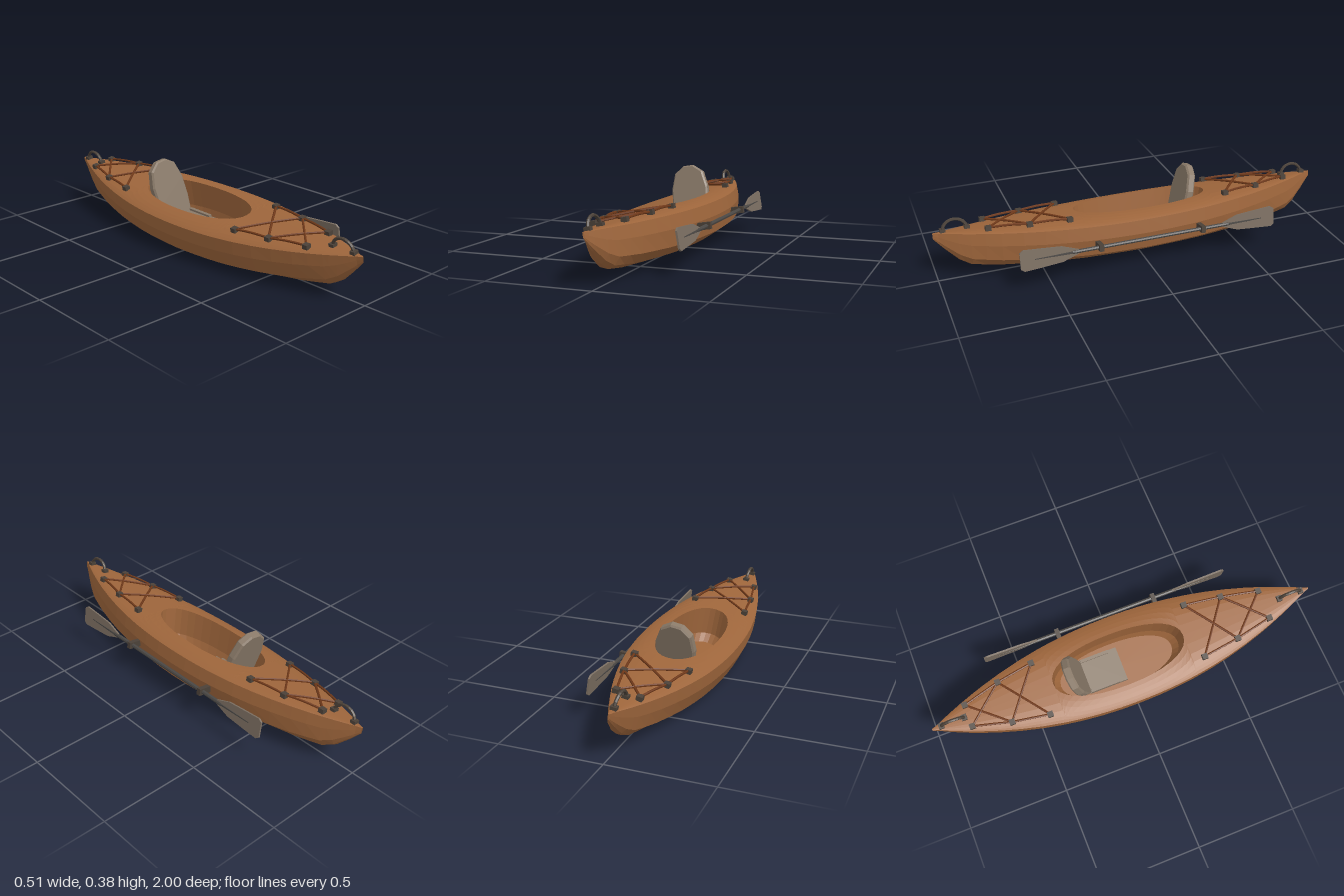
import * as THREE from 'three';

const mat = (name, color, opts = {}) => {
  const m = new THREE.MeshStandardMaterial({ color, flatShading: true, ...opts });
  m.name = name;
  return m;
};

// Surface through rows of [x, y, z] points
function loft(rows) {
  const n = rows[0].length, index = [];
  for (let i = 0; i < rows.length - 1; i++)
    for (let j = 0; j < n - 1; j++) {
      const a = i * n + j, b = a + n;
      index.push(a, b, a + 1, b, b + 1, a + 1);
    }
  const g = new THREE.BufferGeometry();
  g.setAttribute('position', new THREE.Float32BufferAttribute(rows.flat(2), 3));
  g.setIndex(index);
  g.computeVertexNormals();
  return g;
}

// Hull rules: half width and keel depth along the length
const halfWidth = z => Math.max(0.004, 0.229 * (1 - Math.abs(z) ** 2.1));
const KEEL = [[0, 0.2375], [0.3, 0.232], [0.5, 0.222], [0.7, 0.205], [0.835, 0.185], [0.89, 0.15], [0.95, 0.088], [1, 0.03]];
function keelDepth(z) {
  const a = Math.abs(z);
  for (let i = 1; i < KEEL.length; i++) {
    const [z0, d0] = KEEL[i - 1], [z1, d1] = KEEL[i];
    if (a <= z1) return d0 + (d1 - d0) * (a - z0) / (z1 - z0);
  }
  return 0.03;
}
const edgeDrop = z => 0.033 * halfWidth(z) / 0.229;
const deckY = (x, z) => -edgeDrop(z) * Math.min(1, Math.abs(x) / (0.987 * halfWidth(z))) ** 4;

// Cockpit outline, a rounded superellipse
const POW = 2 / 2.2, ZC = -0.035;
const spow = v => Math.sign(v) * Math.abs(v) ** POW;
const rim = a => [0.135 * spow(Math.cos(a)), ZC + 0.345 * spow(Math.sin(a))];

export function createModel() {
  const model = new THREE.Group();
  model.name = 'kayak';
  const boat = new THREE.Group();
  boat.name = 'heeledBoat';
  boat.position.set(-0.035, 0.24, 0);
  boat.rotation.z = 0.166;
  model.add(boat);

  const shell = mat('orange brown shell', 0x9d653b, { side: THREE.DoubleSide });
  const seatMat = mat('taupe seat', 0x8a7a69);
  const dark = mat('dark fittings', 0x4b4138);
  const cordMat = mat('rust cord', 0x6e3819);
  const shaftMat = mat('charcoal shaft', 0x4a4744);
  const bladeMat = mat('grey blade', 0x7b6e61);

  const add = (name, geo, material, x = 0, y = 0, z = 0, parent = boat) => {
    const m = new THREE.Mesh(geo, material);
    m.name = name;
    m.position.set(x, y, z);
    parent.add(m);
    return m;
  };

  // Hull, multi-chine sections from gunwale to gunwale
  const half = [[0.987, 0], [1, 0.33], [0.882, 0.73], [0.498, 0.93], [0, 1]];
  const section = [...half, ...half.slice(0, 4).reverse().map(([x, f]) => [-x, f])];
  const stations = [-1, -0.975, -0.95, -0.92, -0.89, -0.86, -0.835, -0.77, -0.7, -0.6, -0.5, -0.4, -0.3, -0.2, -0.1];
  const hullZ = [...stations, 0, ...stations.map(z => -z).reverse()];
  add('hull', loft(hullZ.map(z => section.map(([x, f]) => {
    const top = edgeDrop(z);
    return [x * halfWidth(z), -top - f * (keelDepth(z) - top), z];
  }))), shell);

  // Cambered deck, one half per side, open around the cockpit
  const N = 18, deckStations = [];
  hullZ.filter(z => z < -0.39).forEach(z => deckStations.push([0, z]));
  for (let i = 0; i <= N; i++) deckStations.push(rim(-Math.PI / 2 + Math.PI * i / N));
  hullZ.filter(z => z > 0.32).forEach(z => deckStations.push([0, z]));
  for (const s of [-1, 1])
    add('deck', loft(deckStations.map(([inner, z]) => [0, 0.25, 0.5, 0.7, 0.85, 0.93, 1].map(t => {
      const x = inner + t * (0.987 * halfWidth(z) - inner);
      return [s * x, deckY(x, z), z];
    }))), shell);

  // Cockpit tub with walls and floor
  add('cockpitTub', loft([[1, null], [0.97, -0.14], [0.88, -0.18], [0, -0.18]].map(([k, y]) =>
    Array.from({ length: 2 * N + 1 }, (_, i) => {
      const [x, z] = rim(-Math.PI / 2 + Math.PI * i / N);
      return [x * k, y ?? deckY(x, z), ZC + (z - ZC) * k];
    }))), shell);

  // Seat: pan, side bolsters and a reclined back
  add('seatPan', new THREE.BoxGeometry(0.176, 0.03, 0.2), seatMat, 0, -0.165, -0.11);
  for (const s of [-1, 1])
    add('seatBolster', new THREE.BoxGeometry(0.016, 0.014, 0.15), seatMat, s * 0.08, -0.146, -0.13);
  const right = [[0.08, -0.165], [0.09, -0.08], [0.091, 0.02], [0.07, 0.099], [0.025, 0.133]];
  const outline = [...right, ...right.map(([x, y]) => [-x, y]).reverse()];
  const back = add('seatBack', new THREE.ExtrudeGeometry(
    new THREE.Shape(outline.map(p => new THREE.Vector2(...p))),
    { depth: 0.026, bevelEnabled: true, bevelThickness: 0.008, bevelSize: 0.008, bevelSegments: 1 }), seatMat, 0, 0, -0.281);
  back.rotation.x = -0.26;

  // Deck rigging: anchors with crossed cords at both ends
  const cord = (a, b) => {
    const mid = a.clone().lerp(b, 0.5);
    mid.y += 0.004;
    add('deckCord', new THREE.TubeGeometry(new THREE.CatmullRomCurve3([a, mid, b]), 6, 0.006, 6), cordMat);
  };
  const rigs = [
    [[0.055, -0.815], [0.104, -0.63], [0.135, -0.445]],
    [[0.14, 0.37], [0.114, 0.56], [0.074, 0.75]],
  ];
  for (const rig of rigs) {
    const at = (i, s) => new THREE.Vector3(s * rig[i][0], deckY(...rig[i]) + 0.013, rig[i][1]);
    for (const s of [-1, 1])
      for (let i = 0; i < 3; i++) {
        const p = at(i, s);
        add('cordAnchor', new THREE.BoxGeometry(0.028, 0.022, 0.028), dark, p.x, p.y - 0.003, p.z);
        if (i < 2) {
          cord(p, at(i + 1, s));
          cord(p, at(i + 1, -s));
        }
      }
  }

  // Arched carry handles at bow and stern
  for (const s of [-1, 1]) {
    const handle = add('carryHandle', new THREE.TorusGeometry(0.057, 0.0085, 6, 12, Math.PI), dark, 0, 0.004, s * 0.895);
    handle.rotation.y = Math.PI / 2;
    handle.scale.y = 0.88;
    for (const e of [-1, 1])
      add('handleMount', new THREE.BoxGeometry(0.03, 0.018, 0.026), dark, 0, 0.006, s * 0.895 + e * 0.058);
  }

  // Double-bladed paddle clipped along the +x side
  const paddle = new THREE.Group();
  paddle.name = 'paddle';
  paddle.position.set(0.256, -0.119, 0);
  boat.add(paddle);
  const shaft = add('paddleShaft', new THREE.CylinderGeometry(0.01, 0.01, 0.8, 8), shaftMat, 0, 0, 0, paddle);
  shaft.rotation.x = Math.PI / 2;
  const edge = [[0.37, 0.01], [0.45, 0.038], [0.55, 0.046], [0.635, 0.052], [0.652, 0.04]];
  const bladeShape = new THREE.Shape(
    [...edge.map(([z, y]) => [z, -y]), ...edge.slice().reverse()].map(p => new THREE.Vector2(...p)));
  for (const s of [-1, 1]) {
    const blade = add('paddleBlade', new THREE.ExtrudeGeometry(bladeShape, { depth: 0.009, bevelEnabled: false }),
      bladeMat, -s * -0.0045, 0, 0, paddle);
    blade.rotation.y = -s * Math.PI / 2;
    const rib = add('bladeRib', new THREE.CylinderGeometry(0.004, 0.01, 0.24, 6), shaftMat, 0, 0, s * 0.51, paddle);
    rib.rotation.x = s * Math.PI / 2;
    rib.scale.z = 0.8;
    add('paddleClip', new THREE.BoxGeometry(0.07, 0.034, 0.022), dark, 0.241, -0.119, s * 0.262);
  }

  return model;
}
